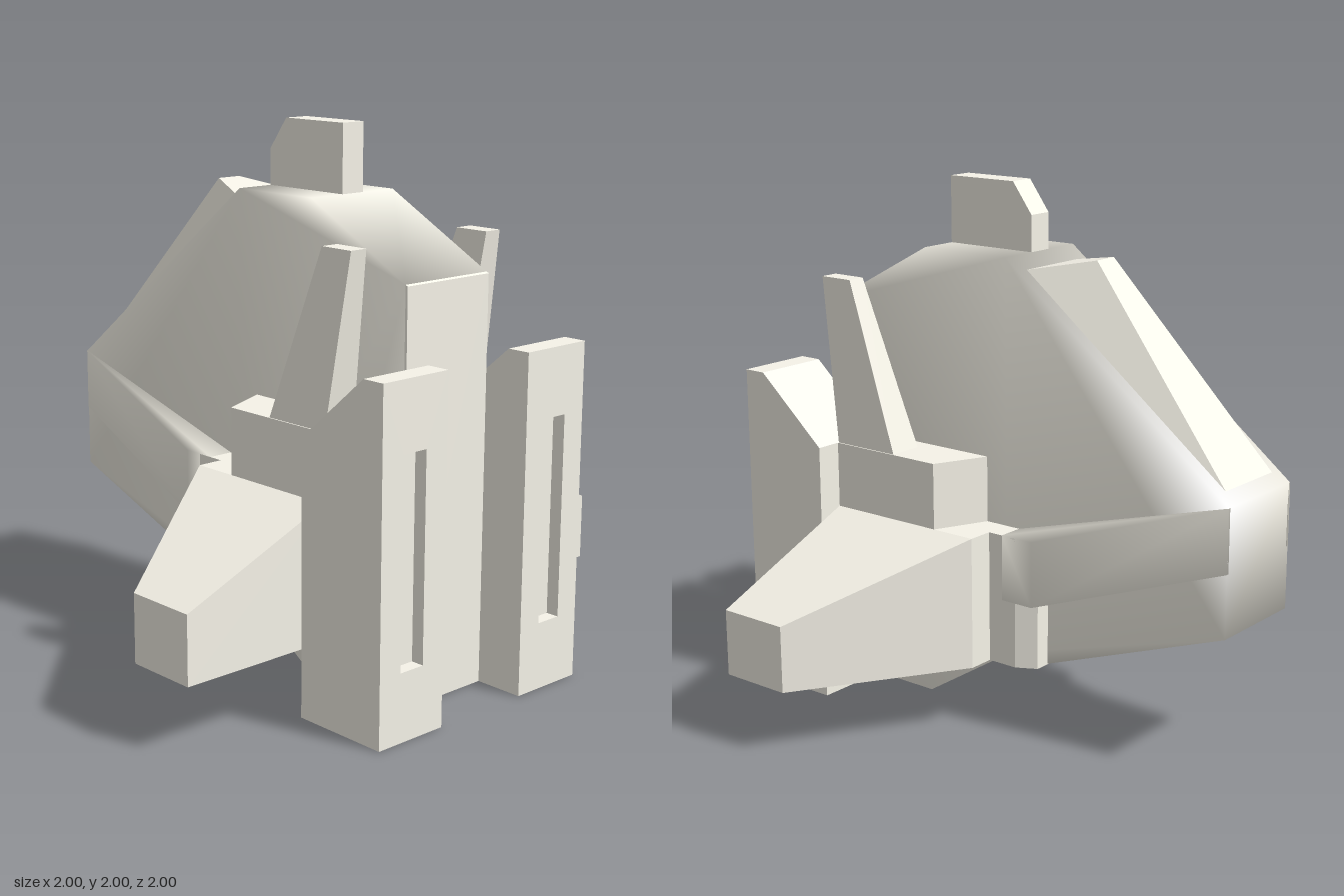
import * as THREE from 'three';
import { ConvexGeometry } from 'three/addons/geometries/ConvexGeometry.js';
import { mergeVertices } from 'three/addons/utils/BufferGeometryUtils.js';

const color = 0xf6f3e8;
const flat = new THREE.MeshStandardMaterial({ color, flatShading: true });
const smooth = new THREE.MeshStandardMaterial({ color });

function addMesh(parent, name, geometry, material = flat) {
  const mesh = new THREE.Mesh(geometry, material);
  mesh.name = name;
  parent.add(mesh);
}

// Weld the corners so that shading runs smoothly over the edges
function soften(geometry) {
  geometry.deleteAttribute('normal');
  geometry.deleteAttribute('uv');
  const welded = mergeVertices(geometry, 1e-4);
  welded.computeVertexNormals();
  return welded;
}

// Side profile of [z, y] points, extruded across x from x0 to x1
function prism(profile, x0, x1) {
  const shape = new THREE.Shape(profile.map(([z, y]) => new THREE.Vector2(-z, y)));
  const geometry = new THREE.ExtrudeGeometry(shape, { depth: x1 - x0, bevelEnabled: false });
  return geometry.rotateY(Math.PI / 2).translate(x0, 0, 0);
}

// Convex solid from corner points, mirrored in x when side is -1
function solid(points, side = 1) {
  return new ConvexGeometry(points.map(([x, y, z]) => new THREE.Vector3(x * side, y, z)));
}

// Corners of a plan polygon [x, z] raised between two heights
function slab(plan, y0, y1) {
  return plan.flatMap(([x, z]) => [[x, y0, z], [x, y1, z]]);
}

function rectangle(path, x0, y0, x1, y1) {
  path.moveTo(x0, y0);
  path.lineTo(x1, y0);
  path.lineTo(x1, y1);
  path.lineTo(x0, y1);
  path.closePath();
  return path;
}

function createSide(side) {
  const group = new THREE.Group();
  group.name = side > 0 ? 'leftSide' : 'rightSide';

  // Upright engine with a recessed slot in its front
  const [x0, x1] = side > 0 ? [0.2, 0.5] : [-0.5, -0.2];
  addMesh(group, 'engineHousing', prism(
    [[0.95, 0], [0.95, 1.25], [0.91, 1.25], [0.62, 1.0], [0.62, 0]], x0, x1));
  const plate = rectangle(new THREE.Shape(), x0, 0, x1, 1.25);
  const slotX = 0.35 * side;
  plate.holes.push(rectangle(new THREE.Path(), slotX - 0.053, 0.25, slotX + 0.053, 1.0));
  addMesh(group, 'engineFrontPlate', new THREE.ExtrudeGeometry(plate,
    { depth: 0.05, bevelEnabled: false }).translate(0, 0, 0.95));

  // Wing root and tapered wing
  addMesh(group, 'wingRoot', solid(slab(
    [[0.15, -0.04], [0.4, -0.04], [0.4, 0.62], [0.15, 0.62]], 0.25, 0.75), side));
  addMesh(group, 'wing', solid([
    ...slab([[0.4, -0.04], [0.4, 0.62]], 0.25, 0.75),
    ...slab([[1, 0.34], [1, 0.62]], 0.25, 0.5)], side));

  // Shoulder block carrying the swept fin
  addMesh(group, 'shoulder', solid(slab(
    [[0.15, 0.03], [0.2, 0.05], [0.4, 0.14], [0.4, 0.62], [0.15, 0.62]], 0.75, 1.0), side));
  addMesh(group, 'fin', solid([
    ...[[0.26, 0.34], [0.395, 0.34], [0.395, 0.62], [0.26, 0.62]].map(([x, z]) => [x, 1.0, z]),
    ...[[0.295, 0.57], [0.365, 0.57], [0.365, 0.71], [0.295, 0.71]].map(([x, z]) => [x, 1.625, z])],
  side));

  // Chamfered hip block and the slanted bar running to the tail
  addMesh(group, 'hipBlock', solid(slab(
    [[0.15, -0.235], [0.26, -0.235], [0.3, -0.16], [0.3, -0.04], [0.15, -0.04]], 0.25, 0.75), side));
  addMesh(group, 'sideBar', soften(solid([
    ...slab([[0.19, -1], [0.202, -1]], 0.765, 1.0),
    ...slab([[0.19, -0.235], [0.3, -0.235], [0.3, -0.1], [0.19, -0.1]], 0.5, 0.75)], side)), smooth);
  return group;
}

export function createModel() {
  const model = new THREE.Group();
  model.name = 'spacecraft';

  // Central hull, softly shaded, with a flat front
  addMesh(model, 'hull', soften(prism([
    [0.8, 0], [0.8, 1.505], [0.34, 1.75], [-0.04, 1.75], [-1, 1.0],
    [-1, 0.53], [-0.23, 0.25], [-0.04, 0.25], [0.34, 0]], -0.2, 0.2)), smooth);
  addMesh(model, 'hullFront', prism(
    [[0.81, 0], [0.81, 1.5], [0.8, 1.505], [0.8, 0]], -0.2, 0.2));

  // Block on top of the hull
  addMesh(model, 'topBlock', prism([
    [0.34, 1.75], [0.34, 2], [0.045, 2], [-0.04, 1.885], [-0.04, 1.75]], -0.05, 0.05));

  // Canopy raised from the sloping hull top
  addMesh(model, 'canopy', solid([1, -1].flatMap((s) => [
    [0.15 * s, 1.705, -0.095], [0.05 * s, 1.75, -0.335], [0.15 * s, 1.04, -0.955]])));

  for (const side of [1, -1]) model.add(createSide(side));
  return model;
}
